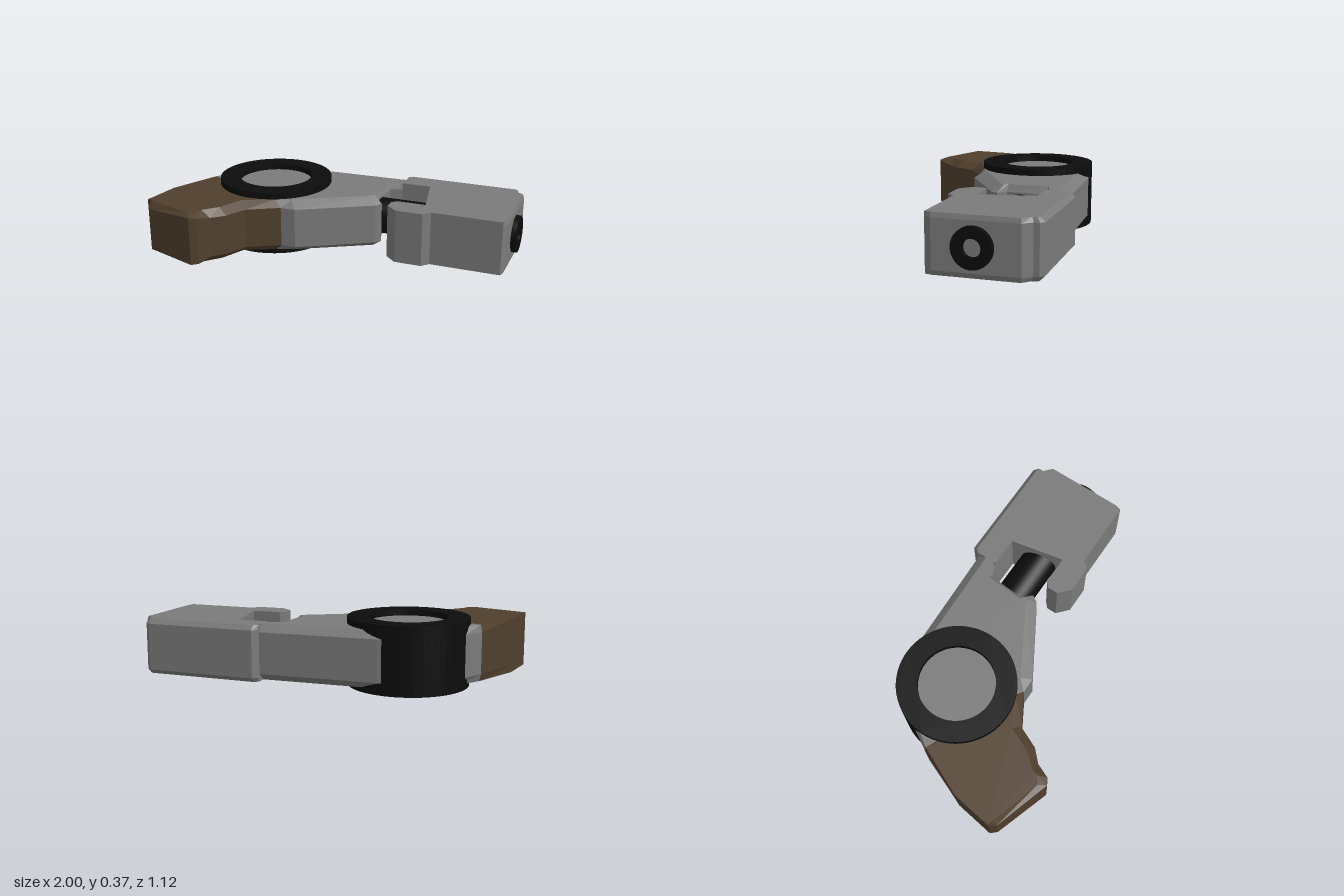
import * as THREE from 'three';

const grey = new THREE.MeshStandardMaterial({ color: 0x7a7a7a, flatShading: true });
const brown = new THREE.MeshStandardMaterial({ color: 0x503f2d, flatShading: true });
const black = new THREE.MeshStandardMaterial({ color: 0x0c0c0c });
const bottomY = 0.026, topY = 0.334;

// Plate with bevelled rims: each point is [outer x, outer z, cap x, cap z, own bevel height].
function bevelledSlab(points, bevel) {
  const pts = points.map(([x, z, cx, cz, b]) => [x, z, cx ?? x, cz ?? z, b ?? bevel]);
  const area = THREE.ShapeUtils.area(pts.map(p => new THREE.Vector2(p[0], -p[1])));
  if (area < 0) pts.reverse();
  const n = pts.length, positions = [], index = [];
  const rings = [[bottomY, 0, 2], [bottomY, 1, 0], [topY, -1, 0], [topY, 0, 2]];
  for (const [y, s, k] of rings) {
    for (const p of pts) positions.push(p[k], y + s * p[4], p[k + 1]);
  }
  for (let r = 0; r < 3; r++) {
    for (let i = 0; i < n; i++) {
      const a = r * n + i, b = r * n + (i + 1) % n;
      index.push(a, b, b + n, a, b + n, a + n);
    }
  }
  const cap = pts.map(p => new THREE.Vector2(p[2], -p[3]));
  for (const [a, b, c] of THREE.ShapeUtils.triangulateShape(cap, [])) {
    index.push(3 * n + a, 3 * n + b, 3 * n + c, c, b, a);
  }
  const indexed = new THREE.BufferGeometry();
  indexed.setAttribute('position', new THREE.Float32BufferAttribute(positions, 3));
  indexed.setIndex(index);
  const geometry = indexed.toNonIndexed();
  geometry.computeVertexNormals();
  return geometry;
}

// Hollow cylinder standing on y = 0, with crisp rims.
function tube(outer, inner, height) {
  const shape = new THREE.Shape().absarc(0, 0, outer, 0, Math.PI * 2, false);
  shape.holes.push(new THREE.Path().absarc(0, 0, inner, 0, Math.PI * 2, true));
  return new THREE.ExtrudeGeometry(shape, { depth: height, bevelEnabled: false, curveSegments: 32 })
    .rotateX(-Math.PI / 2);
}

export function createModel() {
  const group = new THREE.Group();
  const add = (name, geometry, material, x = 0, y = 0, z = 0) => {
    const mesh = new THREE.Mesh(geometry, material);
    mesh.name = name;
    mesh.position.set(x, y, z);
    group.add(mesh);
  };

  // Tapered arm with a notch at the rod end
  add('arm', bevelledSlab([
    [0.257, -0.51, 0.257, -0.46], [-0.395, -0.485, -0.35, -0.44],
    [-0.6, -0.45, -0.58, -0.42], [-0.79, -0.21, -0.77, -0.2],
    [-0.855, -0.095, -0.845, -0.09], [-0.285, 0.168, -0.33, 0.147],
    [-0.2, 0.168, -0.24, 0.115], [0.2, -0.07, 0.165, -0.12],
    [0.225, -0.11, 0.175, -0.135], [0.175, -0.15, 0.155, -0.155],
    [0.19, -0.37, 0.165, -0.385], [0.257, -0.393, 0.257, -0.41],
  ], 0.04), grey);

  // Angled grip, bevelled along its front and tip
  add('grip', bevelledSlab([
    [-0.855, -0.095, -0.845, -0.09], [-0.968, 0.19],
    [-1, 0.42], [-0.973, 0.457, -0.965, 0.43],
    [-0.652, 0.563, -0.68, 0.52, 0.016], [-0.615, 0.54, -0.64, 0.49, 0.02],
    [-0.578, 0.457, -0.63, 0.457], [-0.513, 0.393, -0.56, 0.377],
    [-0.46, 0.27, -0.5, 0.233], [-0.285, 0.168, -0.33, 0.147],
  ], 0.04), brown);

  // Hooked jaw
  add('jaw', bevelledSlab([
    [0.257, -0.53, 0.257, -0.515], [0.278, -0.56, 0.278, -0.535],
    [0.904, -0.56, 0.904, -0.535], [0.93, -0.54, 0.92, -0.525],
    [0.93, -0.51, 0.92, -0.5], [0.972, -0.465, 0.965, -0.46],
    [0.972, -0.015, 0.965, -0.015], [0.955, 0.022], [0.556, 0.022],
    [0.52, 0.065], [0.365, 0.065], [0.298, 0.005], [0.298, -0.055], [0.328, -0.083],
    [0.492, -0.083], [0.428, -0.393], [0.257, -0.393],
  ], 0.025), grey);

  // Pivot barrel with a recessed disc on each side
  add('pivotRing', tube(0.332, 0.215, 0.37), black, -0.465, 0, -0.153);
  add('pivotDisc', new THREE.CylinderGeometry(0.22, 0.22, 0.314, 48), grey, -0.465, 0.18, -0.153);

  // Sliding rod through the jaw, with a deep bore in its outer end
  add('rod', tube(0.105, 0.047, 0.83).rotateZ(-Math.PI / 2), black, 0.17, 0.18, -0.228);
  add('rodCore', new THREE.CylinderGeometry(0.05, 0.05, 0.6, 24).rotateZ(Math.PI / 2),
    grey, 0.475, 0.18, -0.228);

  return group;
}
